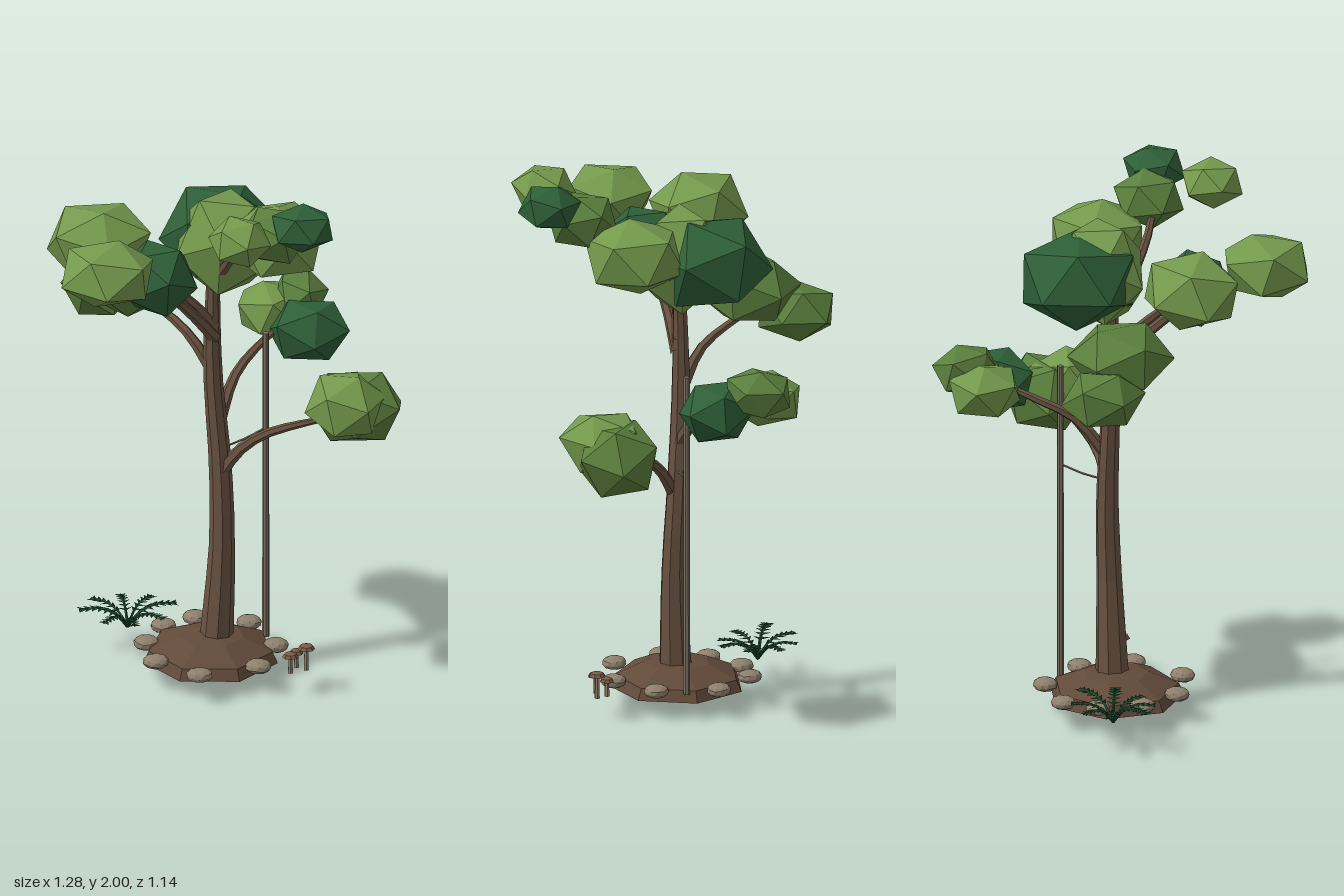
import * as THREE from 'three';
import { mergeGeometries } from 'three/addons/utils/BufferGeometryUtils.js';

const mat = (name, color) => {
  const m = new THREE.MeshStandardMaterial({ color });
  m.name = name;
  return m;
};

const V = (p) => new THREE.Vector3(...p);

// Faceted normals for the low-poly look
function flat(geo) {
  const g = geo.index ? geo.toNonIndexed() : geo;
  g.computeVertexNormals();
  return g;
}

const turned = (profile, sides) =>
  flat(new THREE.LatheGeometry(profile.map((p) => new THREE.Vector2(...p)), sides));

function seeded(seed) {
  let s = seed;
  return () => (s = (s * 16807) % 2147483647) / 2147483647;
}

// Randomly turned icosahedron fitted to half sizes hx, hy, hz, with a broadened top and bottom
function lump(rand, hx, hy, hz, detail = 0) {
  const g = new THREE.IcosahedronGeometry(1, detail);
  g.applyMatrix4(new THREE.Matrix4().makeRotationFromEuler(
    new THREE.Euler(rand() * 6.28, rand() * 6.28, rand() * 6.28)));
  g.computeBoundingBox();
  const b = g.boundingBox.max.clone(), pos = g.attributes.position;
  for (let i = 0; i < pos.count; i++) {
    const y = pos.getY(i) / b.y;
    pos.setXYZ(i, pos.getX(i) * hx / b.x, Math.sign(y) * Math.abs(y) ** 0.85 * hy, pos.getZ(i) * hz / b.z);
  }
  return flat(g);
}

// Tube along a curve whose radius follows a list of values
function taperedTube(points, radii, steps, sides) {
  const curve = new THREE.CatmullRomCurve3(points.map(V));
  const g = new THREE.TubeGeometry(curve, steps, 1, sides, false);
  const pos = g.attributes.position, v = new THREE.Vector3();
  for (let i = 0; i <= steps; i++) {
    const c = curve.getPointAt(i / steps);
    const f = (i / steps) * (radii.length - 1), k = Math.min(Math.floor(f), radii.length - 2);
    const r = THREE.MathUtils.lerp(radii[k], radii[k + 1], f - k);
    for (let j = 0; j <= sides; j++) {
      const n = i * (sides + 1) + j;
      v.fromBufferAttribute(pos, n).sub(c).multiplyScalar(r).add(c);
      pos.setXYZ(n, v.x, v.y, v.z);
    }
  }
  return flat(g);
}

export function createModel() {
  const root = new THREE.Group();
  root.name = 'tree';
  const rand = seeded(4711);
  const light = mat('light leaf green', 0x74994c);
  const mid = mat('leaf green', 0x5b7f3d);
  const dark = mat('dark leaf green', 0x2e5f38);
  const bark = mat('bark brown', 0x6a5342);
  const soil = mat('soil brown', 0x624a3a);
  const stone = mat('stone grey', 0x8f806d);
  const wood = mat('weathered wood', 0x7b7160);
  const fernGreen = mat('fern green', 0x1f4a2d);
  fernGreen.side = THREE.DoubleSide;
  const capBrown = mat('mushroom cap brown', 0x7a5a46);
  const stemTan = mat('mushroom stem tan', 0x95816c);

  const add = (name, geo, material, p = [0, 0, 0], parent = root) => {
    const m = new THREE.Mesh(geo, material);
    m.name = name;
    m.position.set(...p);
    parent.add(m);
    return m;
  };

  // Earth mound
  const mound = turned([[0, 0], [0.25, 0.058], [0.23, 0.1], [0.12, 0.148], [0, 0.16]], 7);
  add('mound', mound, soil, [-0.05, 0, -0.03]).rotation.y = 0.4;

  // Stones around the mound
  [0, 45, 102, 150, 188, 225, 258, 308].forEach((deg) => {
    const a = THREE.MathUtils.degToRad(deg);
    add('stone', lump(rand, 0.046, 0.024, 0.044, 1), stone,
      [-0.05 + 0.235 * Math.cos(a), 0.1, -0.03 + 0.265 * Math.sin(a)]);
  });

  // Trunk and branches
  add('trunk', taperedTube(
    [[-0.03, 0.12, -0.03], [-0.01, 0.5, -0.03], [-0.015, 0.8, -0.042], [-0.043, 1.2, -0.045], [-0.04, 1.64, -0.04]],
    [0.062, 0.047, 0.04, 0.033, 0.022], 12, 8), bark);
  [
    [[-0.01, 0.79, -0.03], [0.05, 0.88, -0.01], [0.15, 0.955, 0.01], [0.4, 1.03, 0.03]],
    [[-0.025, 0.97, -0.04], [0.04, 1.12, -0.14], [0.13, 1.19, -0.25], [0.25, 1.25, -0.36]],
    [[-0.035, 1.17, -0.045], [-0.13, 1.31, -0.09], [-0.23, 1.38, -0.16], [-0.38, 1.43, -0.25]],
    [[-0.035, 1.32, -0.035], [-0.12, 1.44, 0.03], [-0.2, 1.54, 0.1], [-0.38, 1.7, 0.25]],
    [[-0.035, 1.36, -0.04], [-0.14, 1.49, 0], [-0.25, 1.59, 0.03], [-0.4, 1.7, 0.04]],
    [[-0.04, 1.55, -0.03], [0, 1.65, 0.08], [0.05, 1.77, 0.18], [0.16, 1.87, 0.28]],
  ].forEach((p) => add('branch', taperedTube(p, [0.026, 0.019, 0.015, 0.009], 8, 6), bark));

  // Leaf clumps: centre, then half sizes
  const clumps = [
    [dark, -0.01, 1.68, -0.165, 0.225, 0.165, 0.215],
    [light, 0, 1.685, -0.06, 0.175, 0.18, 0.16],
    [light, 0.19, 1.74, 0.05, 0.165, 0.14, 0.18],
    [mid, 0.17, 1.85, 0.26, 0.13, 0.1, 0.125],
    [dark, 0.27, 1.918, 0.35, 0.11, 0.082, 0.108],
    [light, 0.04, 1.912, 0.45, 0.113, 0.08, 0.118],
    [light, -0.457, 1.735, 0.03, 0.187, 0.135, 0.18],
    [light, -0.437, 1.755, 0.37, 0.168, 0.115, 0.17],
    [dark, -0.25, 1.65, 0.18, 0.145, 0.12, 0.14],
    [mid, -0.343, 1.49, -0.2, 0.165, 0.115, 0.17],
    [mid, -0.447, 1.39, -0.345, 0.138, 0.1, 0.142],
    [dark, 0.313, 1.223, -0.305, 0.147, 0.1, 0.138],
    [mid, 0.285, 1.3, -0.455, 0.105, 0.09, 0.115],
    [light, 0.18, 1.25, -0.445, 0.12, 0.1, 0.125],
    [mid, 0.475, 1.06, 0.015, 0.165, 0.125, 0.15],
    [light, 0.435, 1.1, 0.085, 0.15, 0.115, 0.145],
  ];
  for (const [m, x, y, z, hx, hy, hz] of clumps) add('leafClump', lump(rand, hx, hy, hz), m, [x, y, z]);

  // Support stake and its tie
  add('stake', flat(new THREE.CylinderGeometry(0.012, 0.013, 1.2, 8)), wood, [0.152, 0.69, -0.135]);
  add('tie', taperedTube([[-0.01, 0.88, -0.04], [0.07, 0.89, -0.09], [0.155, 0.915, -0.14]], [0.004, 0.004], 4, 5), wood);

  // Mushrooms: x, z, cap height, cap radius
  [[0.29, 0.16, 0.168, 0.032], [0.232, 0.185, 0.148, 0.03], [0.255, 0.135, 0.14, 0.026]].forEach(([x, z, top, r]) => {
    const g = new THREE.Group();
    g.name = 'mushroom';
    g.position.set(x, 0.085, z);
    root.add(g);
    const h = top - 0.085;
    add('stem', flat(new THREE.CylinderGeometry(0.008, 0.01, h, 6)), stemTan, [0, h / 2, 0], g);
    add('cap', turned([[0, -0.004], [r, 0], [r * 0.75, 0.012], [0, 0.02]], 8), capBrown, [0, h, 0], g);
  });

  // Fern: arching fronds with paired leaflets
  const fern = new THREE.Group();
  fern.name = 'fern';
  fern.position.set(-0.345, 0.09, -0.235);
  root.add(fern);
  const spine = [[0, 0, 0], [0.045, 0.055, 0], [0.1, 0.082, 0], [0.185, 0.082, 0]];
  const curve = new THREE.CatmullRomCurve3(spine.map(V));
  const parts = [taperedTube(spine, [0.007, 0.004], 6, 4)];
  for (let i = 0; i < 6; i++) {
    const p = curve.getPointAt(0.38 + i * 0.11);
    for (const s of [-1, 1]) {
      const leaf = new THREE.ConeGeometry(0.011, 0.045 - i * 0.003, 4);
      leaf.translate(0, 0.018, 0);
      leaf.scale(1, 1, 0.5);
      leaf.rotateX(Math.PI / 2);
      leaf.rotateY(s > 0 ? 0.6 : Math.PI - 0.6);
      leaf.translate(p.x, p.y, p.z);
      parts.push(flat(leaf));
    }
  }
  const frond = mergeGeometries(parts);
  for (let i = 0; i < 8; i++) {
    const m = add('frond', frond, fernGreen, [0, 0, 0], fern);
    const a = (i / 8) * Math.PI * 2 + 0.15;
    m.rotation.y = a;
    m.scale.setScalar(1 - 0.22 * Math.abs(Math.sin(a)));
  }
  return root;
}
